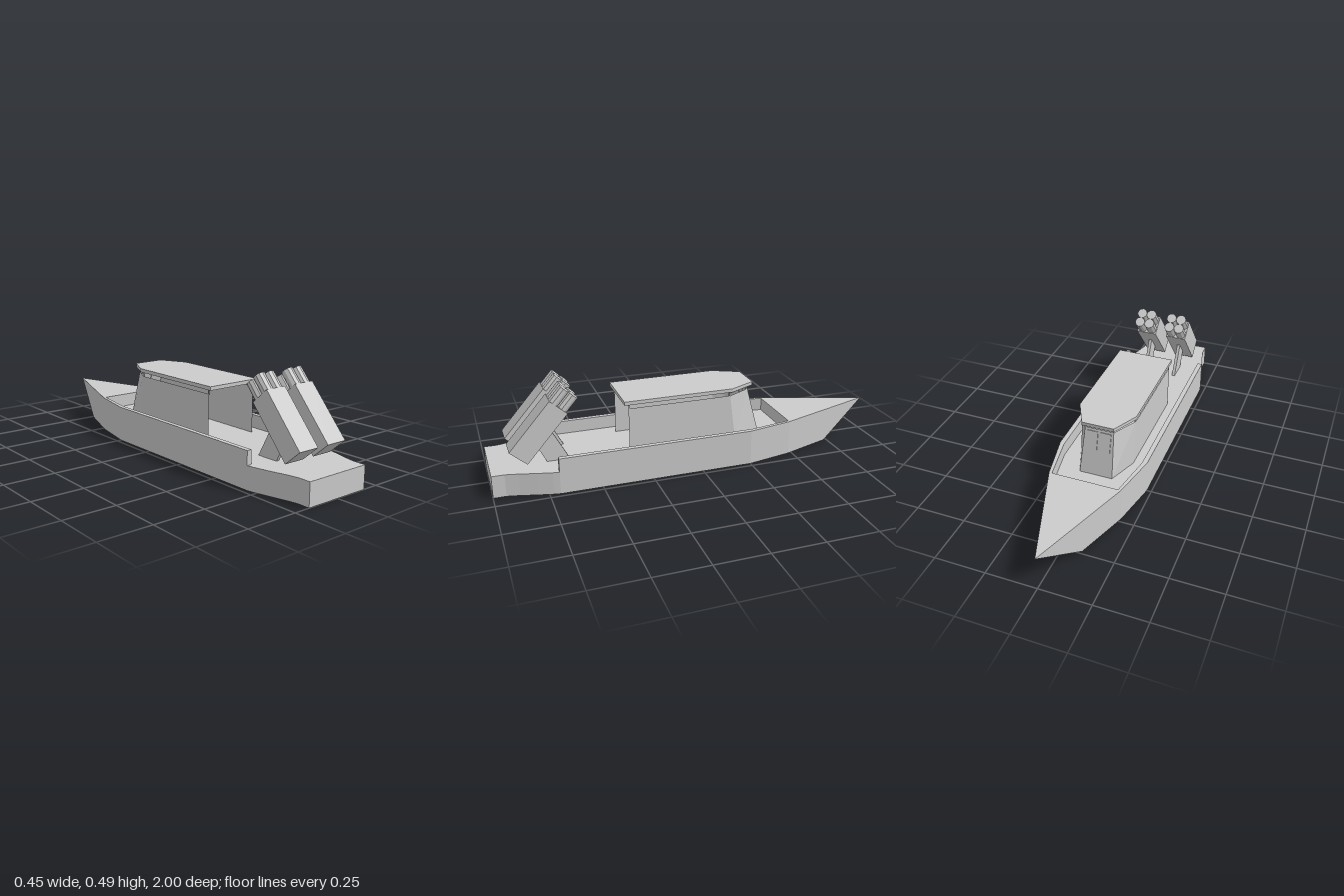
import * as THREE from 'three';
import { ConvexGeometry } from 'three/addons/geometries/ConvexGeometry.js';

const material = new THREE.MeshStandardMaterial({ color: 0xcccccc, flatShading: true });
const thinMaterial = new THREE.MeshStandardMaterial({ color: 0xcccccc, flatShading: true, side: THREE.DoubleSide });

const FLOOR = 0.11, DECK = 0.176, CABIN_TOP = 0.34, ROOF = 0.36;

function add(parent, name, geometry, mat = material) {
  const mesh = new THREE.Mesh(geometry, mat);
  mesh.name = name;
  parent.add(mesh);
  return mesh;
}

// Completes a half outline of [x, z] points with its mirror image
function mirrored(half) {
  return [...half, ...half.map(([x, z]) => [-x, z]).reverse()];
}

// Horizontal slab from a mirrored half outline, between two heights
function slab(half, y0, y1) {
  const shape = new THREE.Shape(mirrored(half).map(([x, z]) => new THREE.Vector2(x, -z)));
  const geometry = new THREE.ExtrudeGeometry(shape, { depth: y1 - y0, bevelEnabled: false });
  return geometry.rotateX(-Math.PI / 2).translate(0, y0, 0);
}

// Open wall joining two mirrored outlines at different heights
function wall(lowerHalf, y0, upperHalf, y1) {
  const low = mirrored(lowerHalf), high = mirrored(upperHalf), pos = [];
  for (let i = 0; i < low.length - 1; i++) {
    const a = [low[i][0], y0, low[i][1]], b = [low[i + 1][0], y0, low[i + 1][1]];
    const c = [high[i + 1][0], y1, high[i + 1][1]], d = [high[i][0], y1, high[i][1]];
    pos.push(...a, ...b, ...c, ...a, ...c, ...d);
  }
  const geometry = new THREE.BufferGeometry();
  geometry.setAttribute('position', new THREE.Float32BufferAttribute(pos, 3));
  geometry.computeVertexNormals();
  return geometry;
}

function createHull() {
  const hull = new THREE.Group();
  hull.name = 'hull';
  const bow = [[0.227, -0.25], [0.18, -0.48], [0.092, -0.735]];

  // Lower body with the low stern deck
  add(hull, 'lowerHull', slab(
    [[0.17, 1], [0.17, 0.94], [0.183, 0.88], [0.205, 0.8], [0.222, 0.73], [0.227, 0.7], ...bow], 0, FLOOR));

  // Bulwark around the well, joined to the solid foredeck
  add(hull, 'bulwark', slab(
    [[0.165, -0.48], [0.203, -0.26], [0.203, 0.7], [0.227, 0.7], ...bow], FLOOR, DECK));

  // Raked bow
  const corners = [new THREE.Vector3(0, DECK, -1)];
  for (const x of [-0.092, 0.092]) {
    for (const y of [0, DECK]) corners.push(new THREE.Vector3(x, y, -0.735));
  }
  add(hull, 'bowTip', new ConvexGeometry(corners));
  return hull;
}

function createCabin() {
  const cabin = new THREE.Group();
  cabin.name = 'cabin';

  // Walls, open towards the stern
  const top = [[0.138, 0.345], [0.138, -0.17], [0.072, -0.29]];
  add(cabin, 'cabinWalls', wall(
    [[0.138, 0.345], [0.138, -0.2], [0.083, -0.348]], FLOOR, top, CABIN_TOP), thinMaterial);

  // Two front windows following the raked wall
  for (const side of [-1, 1]) {
    const pane = add(cabin, 'frontWindow', new THREE.BoxGeometry(0.056, 0.1, 0.008));
    pane.position.set(side * 0.033, 0.279, -0.3055);
    pane.rotation.x = 0.247;
  }

  // Roof raised on small posts above the walls
  add(cabin, 'roof', slab([[0.145, 0.365], [0.145, -0.18], [0.08, -0.312]], ROOF, 0.378));
  add(cabin, 'roofLip', wall(top.slice(1), 0.352, top.slice(1), ROOF), thinMaterial);
  for (const [px, pz] of top) {
    for (const side of [-1, 1]) {
      const post = add(cabin, 'roofPost', new THREE.BoxGeometry(0.006, ROOF - CABIN_TOP + 0.01, 0.006));
      post.position.set(side * (px - 0.004), (ROOF + CABIN_TOP) / 2, pz + (pz > 0 ? -0.004 : 0.004));
    }
  }
  return cabin;
}

function createLauncher(x) {
  const launcher = new THREE.Group();
  launcher.name = 'launcher';
  launcher.position.x = x;

  // Tilted box with a two by two cluster of tubes
  const tilted = new THREE.Group();
  tilted.name = 'tubeHousing';
  tilted.position.set(0, 0.278, 0.771);
  tilted.rotation.x = -0.72;
  launcher.add(tilted);
  add(tilted, 'housingBox', new THREE.BoxGeometry(0.109, 0.3, 0.106));
  for (const i of [-1, 1]) {
    for (const j of [-1, 1]) {
      const tube = add(tilted, 'tube', new THREE.CylinderGeometry(0.027, 0.027, 0.1, 10));
      tube.position.set(i * 0.027, 0.183, j * 0.026);
    }
  }

  // Slanted support plate
  const profile = [[0.735, FLOOR], [0.785, 0.21], [0.72, 0.29], [0.626, FLOOR]];
  const shape = new THREE.Shape(profile.map(([z, y]) => new THREE.Vector2(-z, y)));
  const plate = new THREE.ExtrudeGeometry(shape, { depth: 0.016, bevelEnabled: false });
  add(launcher, 'support', plate.translate(0, 0, -0.008).rotateY(Math.PI / 2));
  return launcher;
}

export function createModel() {
  const model = new THREE.Group();
  model.name = 'patrolBoat';
  model.add(createHull(), createCabin(), createLauncher(-0.0815), createLauncher(0.0885));
  return model;
}
